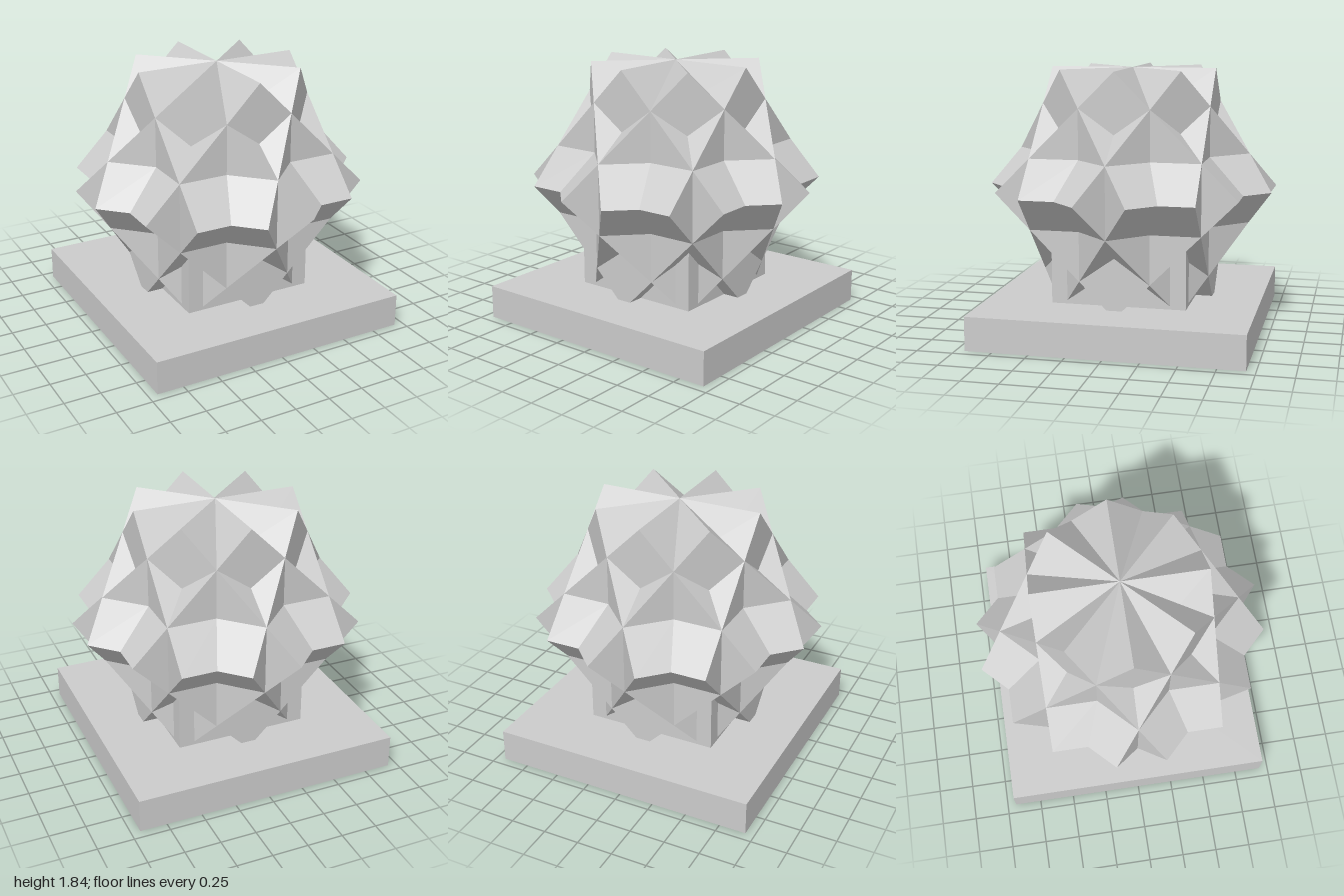
import * as THREE from 'three';

export function createModel() {
  const model = new THREE.Group();
  const material = new THREE.MeshStandardMaterial({ color: 0xcccccc, flatShading: true });

  const half = 2 - Math.SQRT2; // half the edge of each cube in the compound
  const centreY = 1.01;
  const plinthHeight = 0.235;

  function addBox(name, width, height, y, parent = model) {
    const mesh = new THREE.Mesh(new THREE.BoxGeometry(width, height, width), material);
    mesh.name = name;
    mesh.position.y = y;
    parent.add(mesh);
    return mesh;
  }

  // Square plinth and the post that carries the star
  addBox('plinth', half * 3.2, plinthHeight, plinthHeight / 2);
  const postTop = 0.8;
  addBox('post', half * 1.6, postTop - plinthHeight, (postTop + plinthHeight) / 2);

  // Star: four interlocking cubes, each tipped onto an edge and turned by 45 degrees
  const star = new THREE.Group();
  star.name = 'cubeCompound';
  star.position.y = centreY;
  for (let i = 0; i < 4; i++) {
    const cube = addBox('tippedCube' + (i + 1), half * 2, half * 2, 0, star);
    cube.rotation.set(Math.PI / 4, (i * Math.PI) / 4, 0, 'YXZ');
  }
  model.add(star);

  return model;
}
